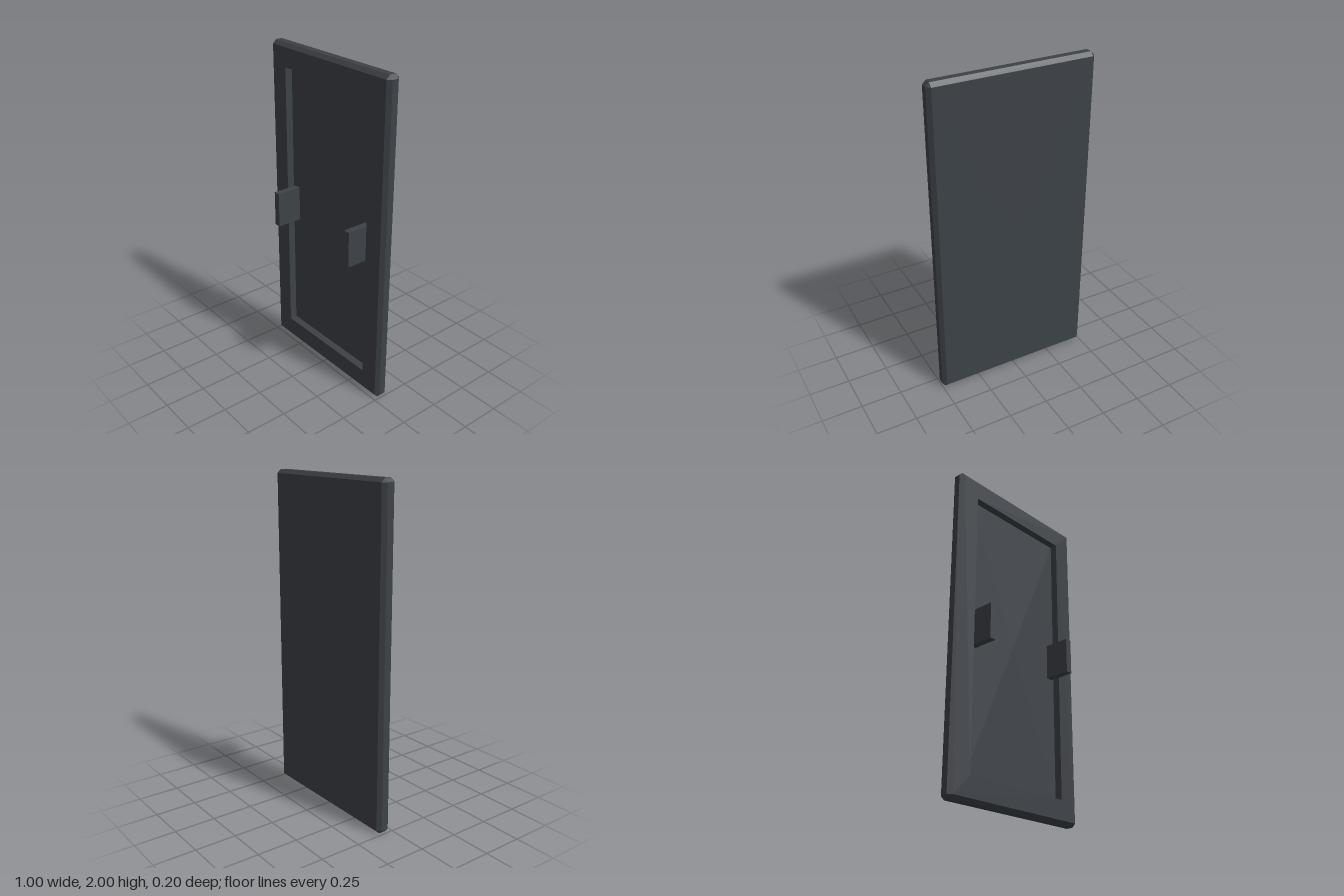
import * as THREE from 'three';

// Eight-point loop: a rectangle with its corners cut by c, anticlockwise from the front
function ring(hx, hy, c, z) {
  const x = hx - c, y = hy - c;
  return [[hx, -y], [hx, y], [x, hy], [-x, hy], [-hx, y], [-hx, -y], [-x, -hy], [x, -hy]]
    .map(([px, py]) => new THREE.Vector3(px, py, z));
}

// Join successive loops with flat faces, skipping collapsed triangles
function loft(rings) {
  const points = [];
  const tri = (a, b, c) => {
    const area = b.clone().sub(a).cross(c.clone().sub(a)).length();
    if (area > 1e-7) points.push(a, b, c);
  };
  for (let r = 0; r < rings.length - 1; r++) {
    const a = rings[r], b = rings[r + 1];
    for (let i = 0; i < 8; i++) {
      const j = (i + 1) % 8;
      tri(a[i], a[j], b[j]);
      tri(a[i], b[j], b[i]);
    }
  }
  const geometry = new THREE.BufferGeometry().setFromPoints(points);
  geometry.computeVertexNormals();
  return geometry;
}

export function createModel() {
  const group = new THREE.Group();
  const darkGrey = new THREE.MeshStandardMaterial({ color: 0x3d4248 });
  darkGrey.name = 'dark grey';

  const back = -0.1, front = -0.015, floor = -0.061, bevel = 0.022;
  const hx = 0.5, hy = 1, fx = hx - bevel, fy = hy - bevel;
  const rx = 0.363, ry = 0.861; // recess half size

  // Bevelled slab with a rectangular recess in the front
  const slab = new THREE.Mesh(loft([
    ring(0, 0, 0, back),
    ring(fx, fy, 0, back),
    ring(hx, hy, bevel, back + bevel),
    ring(hx, hy, bevel, front - bevel),
    ring(fx, fy, 0, front),
    ring(rx, ry, 0, front),
    ring(rx, ry, 0, floor),
    ring(0, 0, 0, floor),
  ]), darkGrey);
  slab.name = 'recessedSlab';
  slab.position.y = 1;
  group.add(slab);

  // Two upright grips standing out from the recess floor
  const depth = 0.098 - floor;
  const gripGeometry = new THREE.BoxGeometry(0.041, 0.218, depth);
  for (const side of [-1, 1]) {
    const grip = new THREE.Mesh(gripGeometry, darkGrey);
    grip.name = side > 0 ? 'leftGrip' : 'rightGrip';
    grip.position.set(side * 0.326, 1.003, floor + depth / 2);
    group.add(grip);
  }
  return group;
}
